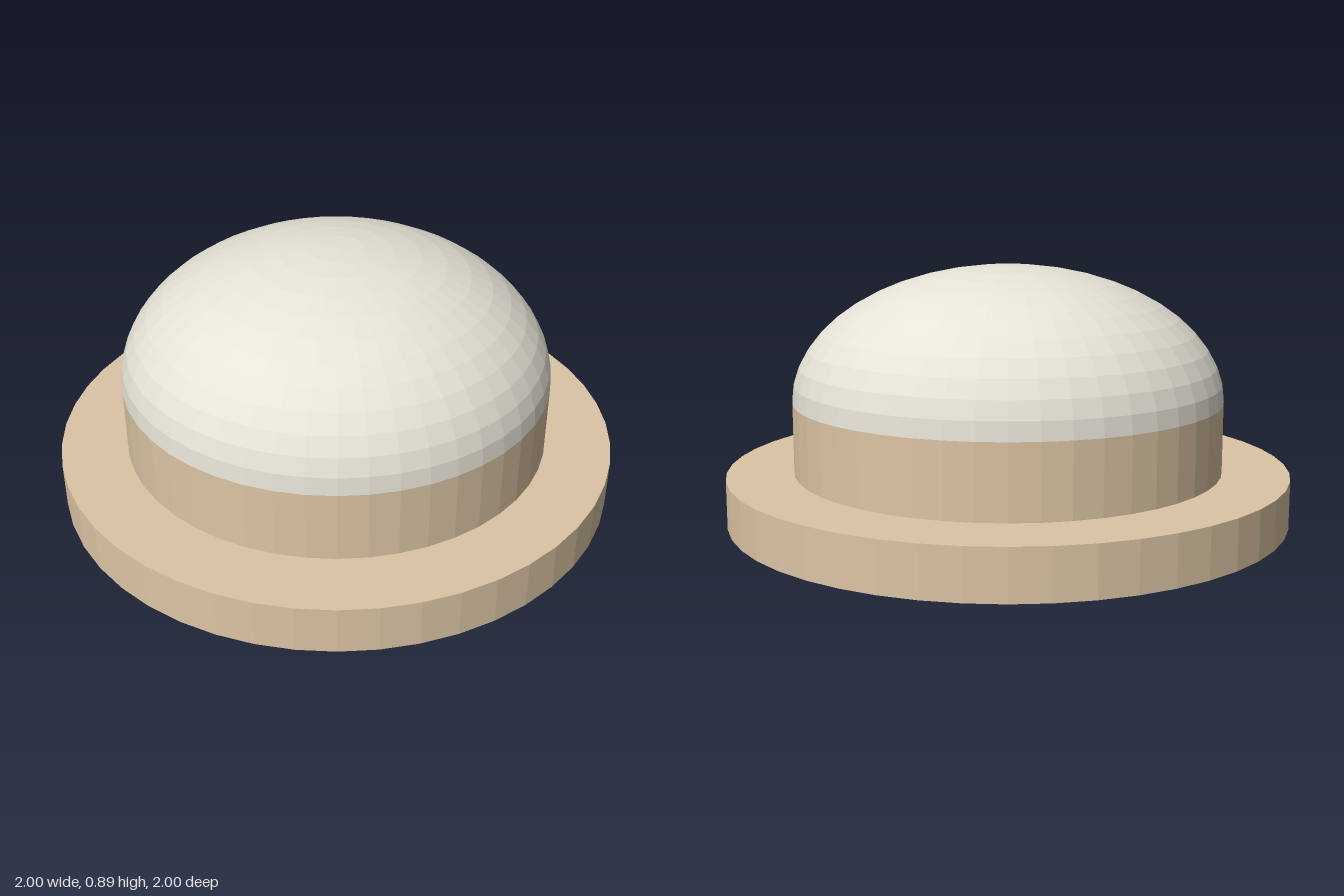
import * as THREE from 'three';

const SEGMENTS = 48;

export function createModel() {
  const group = new THREE.Group();
  const tan = new THREE.MeshStandardMaterial({ color: 0xdcc5a5, flatShading: true });
  const ivory = new THREE.MeshStandardMaterial({ color: 0xe6e2d6, flatShading: true });

  const add = (name, geometry, material, y) => {
    const mesh = new THREE.Mesh(geometry, material);
    mesh.name = name;
    mesh.position.y = y;
    group.add(mesh);
    return mesh;
  };
  const disc = (name, radius, bottom, top) =>
    add(name, new THREE.CylinderGeometry(radius, radius, top - bottom, SEGMENTS), tan, (bottom + top) / 2);

  // Wide flat base and the drum standing on it
  disc('base', 1, 0, 0.17);
  disc('drum', 0.765, 0.17, 0.42);

  // Flattened half-sphere dome resting on the drum
  const half = new THREE.SphereGeometry(0.765, SEGMENTS, 12, 0, Math.PI * 2, 0, Math.PI / 2);
  half.scale(1, 0.473 / 0.765, 1);
  add('dome', half, ivory, 0.42);

  return group;
}
